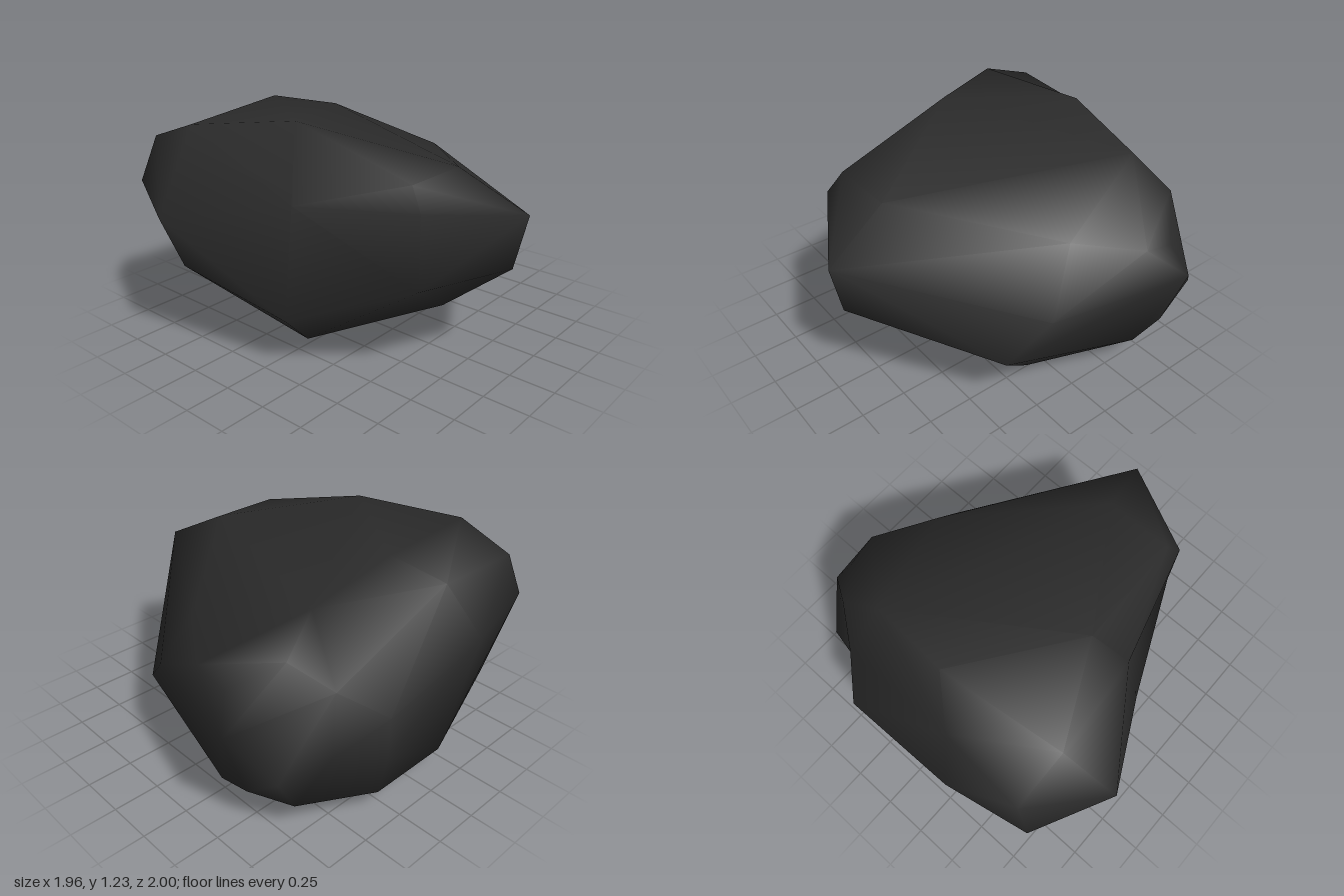
import * as THREE from 'three';
import { ConvexGeometry } from 'three/addons/geometries/ConvexGeometry.js';
import { mergeVertices } from 'three/addons/utils/BufferGeometryUtils.js';

const vec = (p) => new THREE.Vector3(...p);

// Corners of the boulder, grouped by the side they shape
const corners = [
  // crown
  [-0.43, 1.23, -0.05], [0, 1.21, -0.64], [-0.68, 1.18, -0.55], [0.48, 1.09, -0.6],
  [-0.68, 1.07, -0.86], [0.7, 0.94, -0.67], [-0.38, 1.03, 0.64], [0, 1.03, 0.64], [0.68, 0.9, 0.02],
  // front
  [0.08, 0.84, 1], [0.06, 0.55, 0.94], [-0.42, 0.92, 0.72], [-0.42, 0.53, 0.72], [0.03, 0.24, 0.56],
  // flanks
  [0.98, 0.61, -0.55], [0.9, 0.84, -0.29], [0.89, 0.79, -0.48], [0.855, 0.68, -0.1], [0.78, 0.56, 0.2],
  [0.7, 0.35, 0.42], [0.84, 0.39, -0.76], [-0.98, 0.77, -0.47], [-0.85, 0.47, -0.47], [-0.71, 0.29, 0.12],
  // back
  [-0.77, 0.83, -0.9], [-0.31, 0.78, -0.99], [0.37, 0.65, -1], [0.35, 0.4, -0.98], [-0.58, 0.38, -0.84],
  // base
  [0, 0, 0], [0.5, 0.02, -0.26], [0.5, 0.02, -0.63], [-0.48, 0.07, 0.05], [0.6, 0.14, 0.2],
  [0.84, 0.18, -0.35], [0.85, 0.23, -0.55], [0.72, 0.18, -0.74], [0.32, 0.13, -0.91],
  [-0.16, 0.13, -0.91], [-0.32, 0.09, -0.5],
];

// Hollows: hull corners that are pushed inwards afterwards
const dents = [
  // notch in the back
  { from: [0.6, 0.78, -0.94], to: [0.54, 0.78, -0.82] },
  { from: [0.6, 0.42, -0.94], to: [0.55, 0.42, -0.82] },
  // scoop in the right flank
  { from: [-0.78, 0.95, 0.12], to: [-0.6, 0.86, 0.08] },
  // dip behind the crown
  { from: [-0.22, 1.14, -0.86], to: [-0.2, 1.06, -0.83] },
];

function boulderGeometry() {
  const hull = new ConvexGeometry([...corners, ...dents.map((d) => d.from)].map(vec));
  const pos = hull.attributes.position;
  const p = new THREE.Vector3();
  for (let i = 0; i < pos.count; i++) {
    p.fromBufferAttribute(pos, i);
    for (const d of dents) {
      if (p.distanceTo(vec(d.from)) < 1e-4) pos.setXYZ(i, ...d.to);
    }
  }
  // Weld the corners for smooth shading
  hull.deleteAttribute('normal');
  const smooth = mergeVertices(hull, 1e-4);
  smooth.computeVertexNormals();
  return smooth;
}

export function createModel() {
  const group = new THREE.Group();
  group.name = 'rock';
  const charcoal = new THREE.MeshStandardMaterial({ color: 0x2a2a2a });
  charcoal.name = 'charcoal';
  const boulder = new THREE.Mesh(boulderGeometry(), charcoal);
  boulder.name = 'boulder';
  group.add(boulder);
  return group;
}
